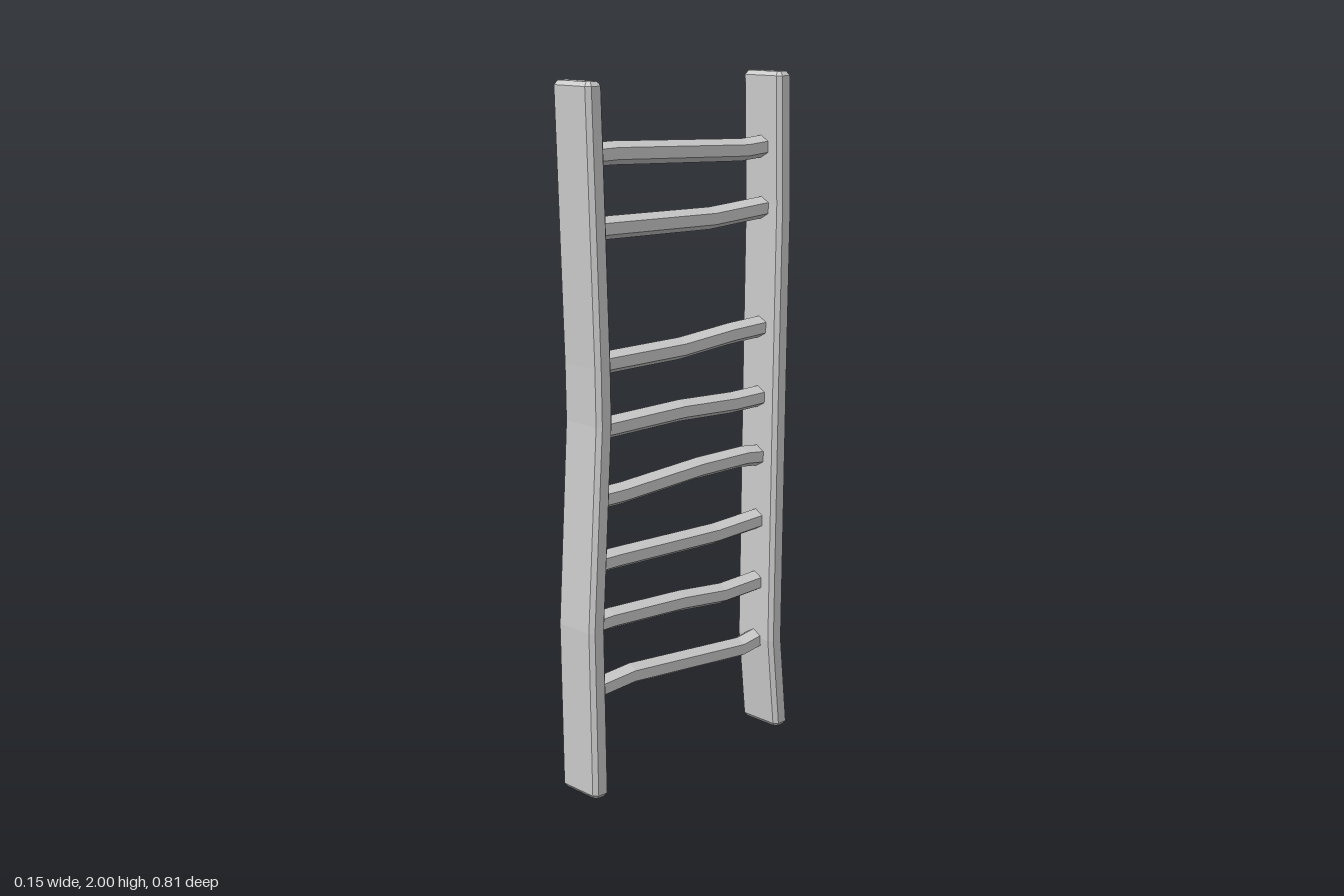
import * as THREE from 'three';

const material = new THREE.MeshStandardMaterial({ color: 0xcccccc, flatShading: true });

// Skin a list of equal-length rings (counter-clockwise seen from the far end), with closed ends
function loft(rings, name) {
  const n = rings[0].length, index = [];
  for (let r = 0; r < rings.length - 1; r++) {
    for (let i = 0; i < n; i++) {
      const a = r * n + i, b = r * n + (i + 1) % n;
      index.push(a, b, b + n, a, b + n, a + n);
    }
  }
  const last = (rings.length - 1) * n;
  for (let i = 1; i < n - 1; i++) {
    index.push(0, i + 1, i, last, last + i, last + i + 1);
  }
  const geometry = new THREE.BufferGeometry();
  geometry.setAttribute('position', new THREE.Float32BufferAttribute(rings.flat(2), 3));
  geometry.setIndex(index);
  const flat = geometry.toNonIndexed();
  flat.computeVertexNormals();
  const mesh = new THREE.Mesh(flat, material);
  mesh.name = name;
  return mesh;
}

// Upright plank with bevelled edges; path is [y, z] from bottom to top
function rail(path, name) {
  const W = 0.073, D = 0.028, C = 0.012;
  const ring = (y, z, inset) => {
    const w = W - inset, d = D - inset, c = C - inset * 0.5;
    return [[w, d - c], [w, c - d], [w - c, -d], [c - w, -d],
      [-w, c - d], [-w, d - c], [c - w, d], [w - c, d]].map(([x, dz]) => [x, y, z + dz]);
  };
  const rings = path.map(([y, z]) => ring(y, z, 0));
  const [y0, z0] = path[0], [y1, z1] = path[path.length - 1];
  rings[0] = ring(y0 + C, z0, 0);
  rings[rings.length - 1] = ring(y1 - C, z1, 0);
  return loft([ring(y0, z0, C * 0.8), ...rings, ring(y1, z1, C * 0.8)], name);
}

// Crooked six-sided rung; path is [z, y] from back to front
function rung(path, name) {
  const R = 0.032;
  return loft(path.map(([z, y]) => Array.from({ length: 6 }, (_, i) => {
    const a = Math.PI / 2 + i * Math.PI / 3;
    return [R * Math.cos(a), y + R * Math.sin(a), z];
  })), name);
}

export function createModel() {
  const ladder = new THREE.Group();
  ladder.name = 'ladder';

  // Side rails
  ladder.add(
    rail([[0, 0.371], [0.5, 0.378], [1.08, 0.343], [1.24, 0.345], [2, 0.369]], 'frontRail'),
    rail([[0, -0.375], [0.29, -0.347], [1.1, -0.355], [1.62, -0.362], [2, -0.353]], 'backRail'),
  );

  // Rungs, bottom to top
  const B = -0.345, F = 0.35;
  const paths = [
    [[B, 0.286], [-0.25, 0.272], [0.2, 0.31], [F, 0.3]],
    [[B, 0.47], [-0.17, 0.465], [0, 0.483], [0.28, 0.498], [F, 0.496]],
    [[B, 0.667], [-0.14, 0.659], [0.26, 0.672], [F, 0.672]],
    [[B, 0.863], [-0.26, 0.873], [-0.07, 0.873], [0.23, 0.857], [F, 0.857]],
    [[B, 1.047], [-0.21, 1.046], [0, 1.057], [F, 1.054]],
    [[B, 1.258], [-0.2, 1.253], [0, 1.238], [F, 1.238]],
    [[B, 1.61], [-0.12, 1.597], [0.25, 1.606], [F, 1.608]],
    [[B, 1.787], [-0.25, 1.781], [0.25, 1.805], [F, 1.804]],
  ];
  paths.forEach((path, i) => ladder.add(rung(path, `rung${i + 1}`)));
  return ladder;
}
